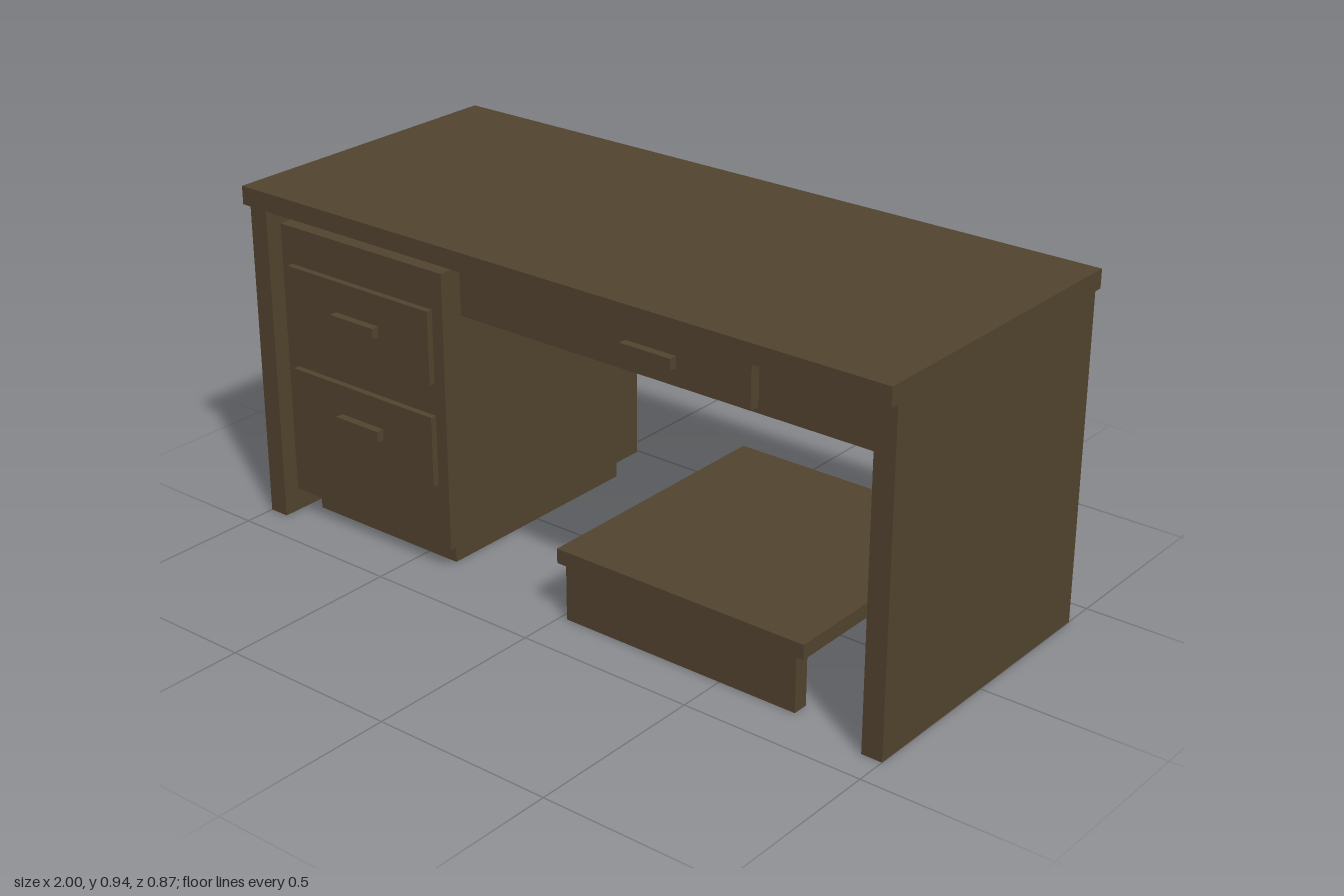
import * as THREE from 'three';

export function createModel() {
  const desk = new THREE.Group();
  desk.name = 'desk';
  const wood = new THREE.MeshStandardMaterial({ color: 0x52432f });
  wood.name = 'darkWood';

  // Adds a board spanning the given x, y and z ranges
  function board(parent, name, [x0, x1], [y0, y1], [z0, z1]) {
    const mesh = new THREE.Mesh(new THREE.BoxGeometry(x1 - x0, y1 - y0, z1 - z0), wood);
    mesh.name = name;
    mesh.position.set((x0 + x1) / 2, (y0 + y1) / 2, (z0 + z1) / 2);
    parent.add(mesh);
  }
  function group(name) {
    const g = new THREE.Group();
    g.name = name;
    desk.add(g);
    return g;
  }
  // Drawer front with a bar handle in its middle
  function drawer(parent, name, x, y, faceZ) {
    const cx = (x[0] + x[1]) / 2, cy = (y[0] + y[1]) / 2;
    board(parent, name + 'Front', x, y, [faceZ - 0.01, 0.388]);
    board(parent, name + 'Handle', [cx - 0.075, cx + 0.075], [cy - 0.015, cy + 0.015], [0.38, 0.41]);
  }

  // Top, side panels and back panel
  board(desk, 'top', [-1, 1], [0.887, 0.937], [-0.437, 0.437]);
  board(desk, 'leftPanel', [0.943, 1], [0, 0.887], [-0.413, 0.413]);
  board(desk, 'rightPanel', [-1, -0.943], [0, 0.887], [-0.413, 0.413]);
  board(desk, 'backPanel', [-0.943, 0.943], [0.4, 0.85], [-0.418, -0.385]);

  // Drawer pedestal on a recessed plinth
  const pedestal = group('pedestal');
  board(pedestal, 'pedestalBody', [-0.938, -0.37], [0.067, 0.83], [-0.385, 0.37]);
  board(pedestal, 'plinth', [-0.903, -0.403], [0, 0.067], [-0.335, 0.318]);
  drawer(pedestal, 'upperDrawer', [-0.903, -0.405], [0.527, 0.727], 0.37);
  drawer(pedestal, 'lowerDrawer', [-0.903, -0.405], [0.243, 0.438], 0.37);

  // Wide drawer case under the top
  const centre = group('centreDrawer');
  board(centre, 'drawerCase', [-0.317, 0.936], [0.73, 0.887], [-0.385, 0.358]);
  drawer(centre, 'centreDrawer', [0.02, 0.595], [0.747, 0.868], 0.358);

  // Low footrest on two boards
  const footrest = group('footrest');
  board(footrest, 'footrestTop', [0, 0.75], [0.157, 0.197], [-0.385, 0.376]);
  board(footrest, 'footrestFrontBoard', [0.02, 0.723], [0, 0.157], [0.322, 0.366]);
  board(footrest, 'footrestBackBoard', [0.02, 0.723], [0, 0.157], [-0.37, -0.327]);

  return desk;
}
